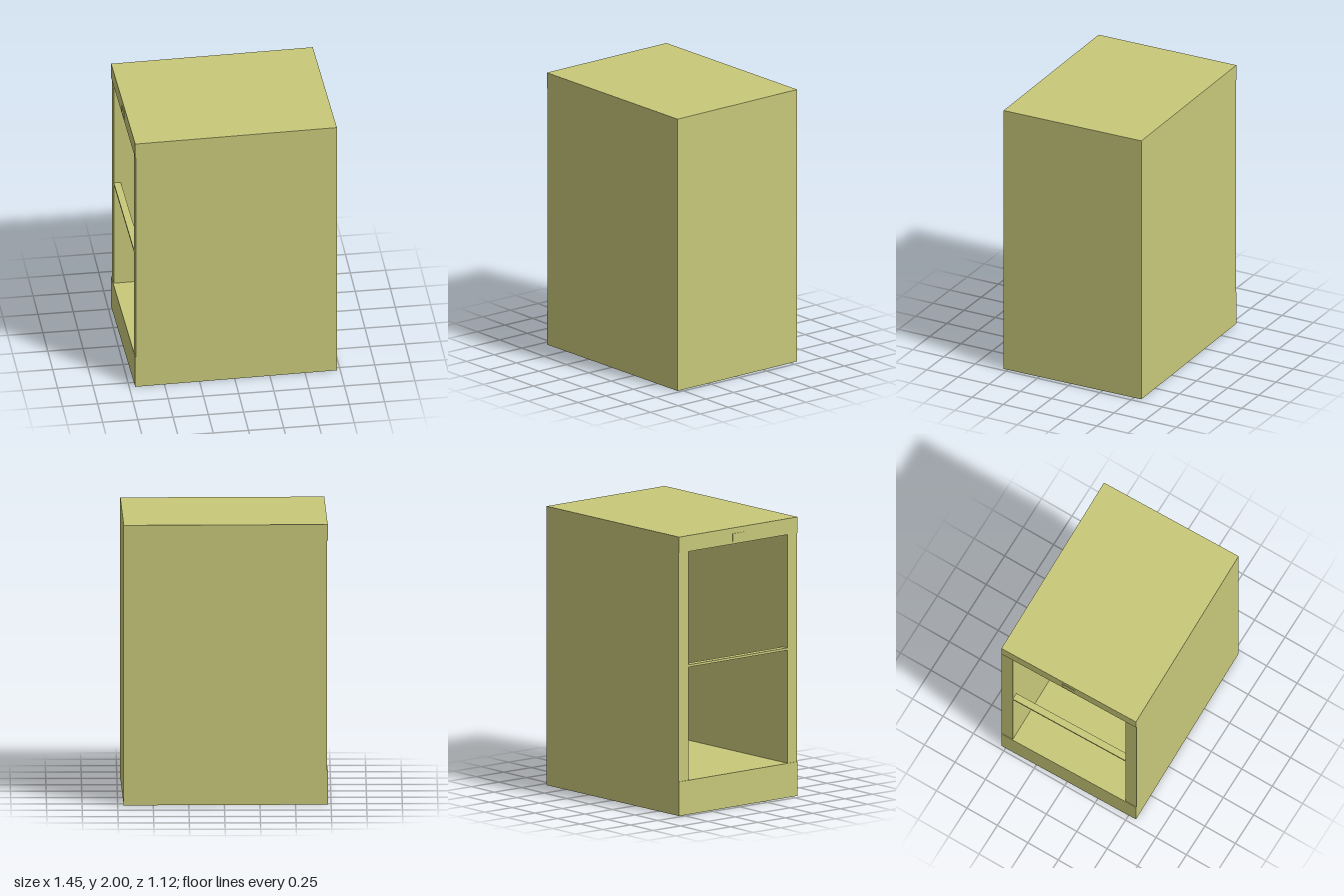
import * as THREE from 'three';

export function createModel() {
  const cabinet = new THREE.Group();
  cabinet.name = 'cabinet';
  const paint = new THREE.MeshStandardMaterial({ color: 0xc8c87a });

  const A = 0.717, B = 0.547;         // half width and half depth
  const floorY = 0.245, ceilY = 1.885; // opening heights
  const wall = 0.09, inset = 0.005;    // wall thickness, recess of the open side

  const add = (name, geometry) => {
    const mesh = new THREE.Mesh(geometry, paint);
    mesh.name = name;
    cabinet.add(mesh);
    return mesh;
  };
  const box = (name, x0, x1, y0, y1, z0, z1) =>
    add(name, new THREE.BoxGeometry(x1 - x0, y1 - y0, z1 - z0))
      .position.set((x0 + x1) / 2, (y0 + y1) / 2, (z0 + z1) / 2);

  // base and top blocks span the full footprint
  box('base', -A, A, 0, floorY, -B, B);
  box('top', -A, A, ceilY, 2, -B, B);

  // U-shaped walls, open towards -x and slightly recessed there
  const xo = -A + inset, xi = A - wall, zi = B - wall;
  const plan = new THREE.Shape([
    [xo, -B], [A, -B], [A, B], [xo, B],
    [xo, zi], [xi, zi], [xi, -zi], [xo, -zi],
  ].map(([x, z]) => new THREE.Vector2(x, z)));
  const walls = new THREE.ExtrudeGeometry(plan, { depth: ceilY - floorY, bevelEnabled: false });
  walls.rotateX(-Math.PI / 2);
  add('walls', walls).position.y = floorY;

  // narrow rail across the opening
  box('middleRail', xo, xo + 0.05, 1.055, 1.072, -zi, zi);

  // small plate on the top fascia
  box('fasciaPlate', -A - 0.004, -A + 0.01, 1.903, 1.96, -0.053, 0.053);

  // the cabinet stands turned by one degree
  cabinet.rotation.y = Math.PI / 180;
  const model = new THREE.Group();
  model.add(cabinet);
  return model;
}
